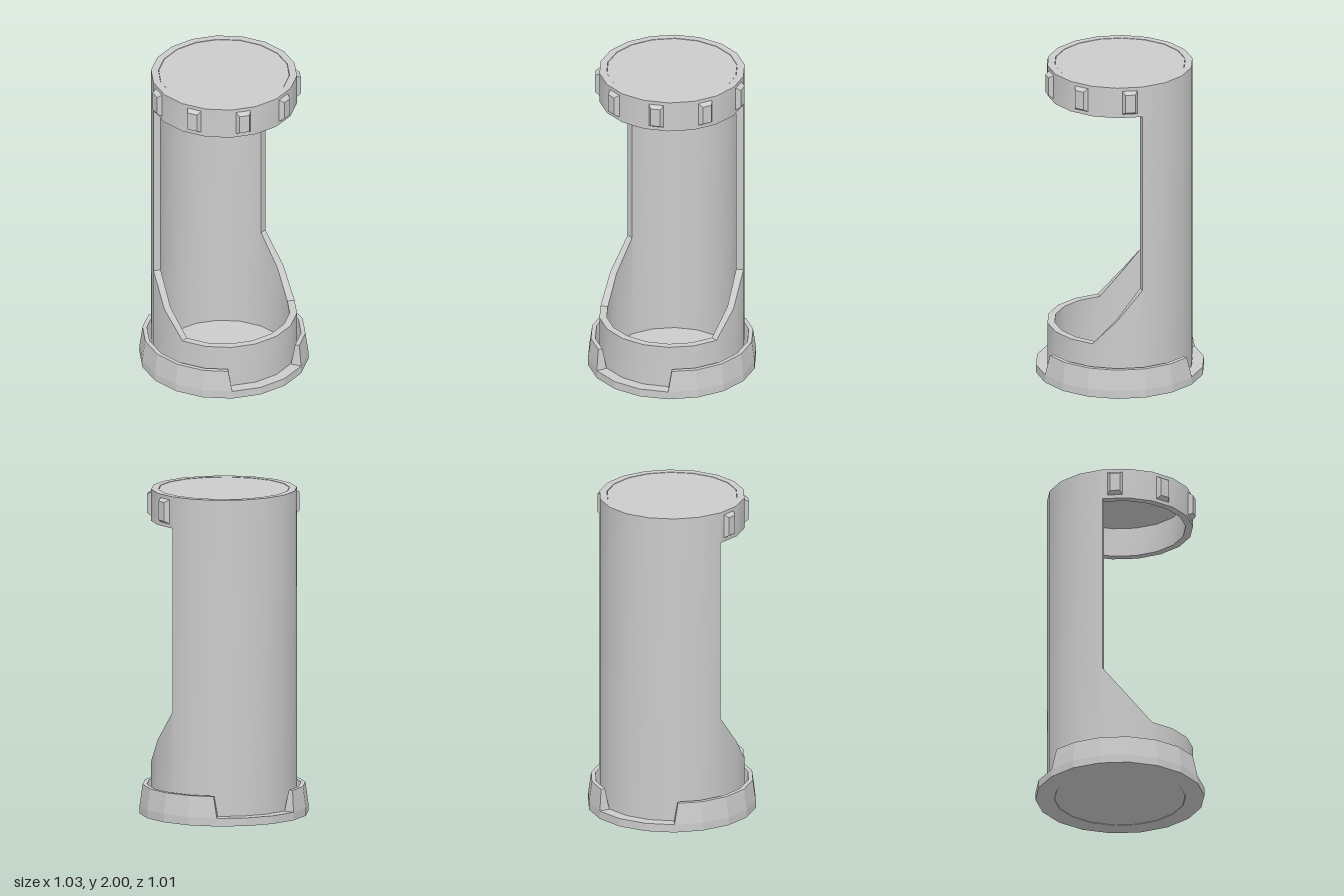
import * as THREE from 'three';
import { mergeGeometries, toCreasedNormals } from 'three/addons/utils/BufferGeometryUtils.js';

const OUTER = 0.445, INNER = 0.4, BASE = 0.515, STEP = 20; // 18-sided tube

// Joins four-cornered sections [radius, y, degrees] (counterclockwise in r, y) around the y axis.
function sweep(sections) {
  const pos = [];
  const loops = sections.map(s => s.map(([r, y, d]) => {
    const a = THREE.MathUtils.degToRad(d);
    return [r * Math.cos(a), y, r * Math.sin(a)];
  }));
  const tri = (a, b, c) => pos.push(...a, ...b, ...c);
  for (let k = 0; k < loops.length - 1; k++) {
    const p = loops[k], q = loops[k + 1];
    for (let i = 0; i < 4; i++) {
      const j = (i + 1) % 4;
      tri(p[i], p[j], q[i]);
      tri(p[j], q[j], q[i]);
    }
  }
  const s = loops[0], e = loops[loops.length - 1];
  tri(s[0], s[2], s[1]); tri(s[0], s[3], s[2]);
  tri(e[0], e[1], e[2]); tri(e[0], e[2], e[3]);
  const g = new THREE.BufferGeometry();
  g.setAttribute('position', new THREE.Float32BufferAttribute(pos, 3));
  g.computeVertexNormals();
  return g;
}

// Curved band between two angles; top may vary with the angle.
function band(from, to, inner, outer, bottom, top) {
  const sections = [];
  for (let d = from; d <= to; d += STEP) {
    const t = typeof top === 'function' ? top(d) : top;
    sections.push([[inner, bottom, d], [outer, bottom, d], [outer, t, d], [inner, t, d]]);
  }
  return sweep(sections);
}

// Bevelled stud: a box whose outer (+z) face is shrunk.
function studGeometry() {
  const g = new THREE.BoxGeometry(0.105, 0.165, 0.04);
  const p = g.attributes.position;
  for (let i = 0; i < p.count; i++) {
    if (p.getZ(i) > 0) p.setXY(i, p.getX(i) * 0.58, p.getY(i) * 0.7);
  }
  g.computeVertexNormals();
  return g;
}

export function createModel() {
  const group = new THREE.Group();
  const smooth = new THREE.MeshStandardMaterial({ color: 0xcccccc });
  const flat = new THREE.MeshStandardMaterial({ color: 0xcccccc, flatShading: true });
  const add = (name, geometry, material) => {
    const mesh = new THREE.Mesh(geometry, material);
    mesh.name = name;
    group.add(mesh);
    return mesh;
  };

  // Tube wall: full-height back, low front with sloping sides, and a band across the top
  const lip = d => (d === -20 || d === 200 ? 0.67 : d === 0 || d === 180 ? 0.48 : 0.32);
  const wall = mergeGeometries([
    band(200, 340, INNER, OUTER, 0, 2),
    band(-20, 200, INNER, OUTER, 0, lip),
    band(-20, 200, INNER, OUTER, 1.805, 2),
  ]);
  add('tubeWall', toCreasedNormals(wall, 0.45), smooth);

  // Thin discs closing the tube
  for (const [name, y] of [['topCap', 1.993], ['floor', 0.007]]) {
    const disc = new THREE.CylinderGeometry(INNER - 0.002, INNER - 0.002, 0.01, 18);
    disc.rotateY(Math.PI / 2);
    add(name, disc, flat).position.y = y;
  }

  // Base flange
  add('baseFlange', band(0, 360, OUTER - 0.005, BASE, 0, 0.05), flat);

  // Tapered collars on both sides of the base, with slanted ends
  for (const centre of [0, 180]) {
    const sections = [];
    for (let d = -60; d <= 60; d += STEP) {
      const end = Math.abs(d) === 60;
      const top = centre + (end ? Math.sign(d) * 57.5 : d);
      const k = end ? 0.993 : 1;
      const low = centre + d;
      sections.push([[0.448, 0.05, low], [BASE, 0.05, low], [0.497 * k, 0.18, top], [0.47 * k, 0.18, top]]);
    }
    add(centre ? 'rightCollar' : 'leftCollar', sweep(sections), flat);
  }

  // Studs on every second facet of the top band
  const stud = studGeometry();
  for (let d = -10; d <= 190; d += 40) {
    const a = THREE.MathUtils.degToRad(d);
    const mesh = add('stud', stud, flat);
    mesh.position.set(Math.cos(a) * 0.446, 1.903, Math.sin(a) * 0.446);
    mesh.rotation.y = Math.PI / 2 - a;
  }
  return group;
}
